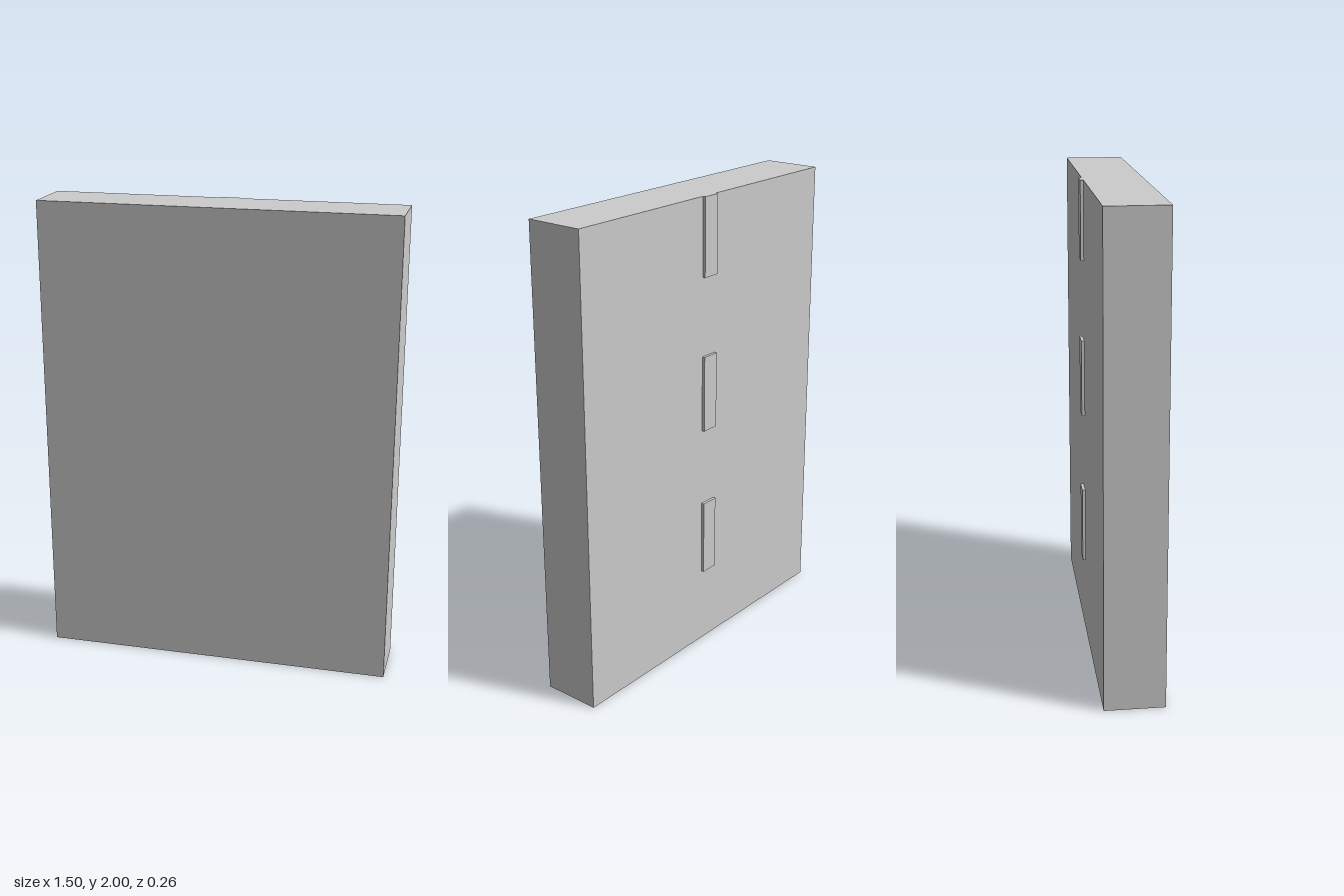
import * as THREE from 'three';

export function createModel() {
  const model = new THREE.Group();
  const material = new THREE.MeshStandardMaterial({ color: 0xcccccc, flatShading: true });

  function addBox(name, size, position) {
    const mesh = new THREE.Mesh(new THREE.BoxGeometry(...size), material);
    mesh.name = name;
    mesh.position.set(...position);
    model.add(mesh);
  }

  // Main slab, its front face at z = 0.131
  const depth = 0.25, raise = 0.0125;
  addBox('panel', [1.5, 2, depth], [0, 1, raise / 2]);

  // Three raised strips down the middle of the back, the highest flush with the top
  const stripHeight = 0.329;
  ['lowerStrip', 'middleStrip', 'upperStrip'].forEach((name, i) => {
    const top = (2 / 3) * (i + 1);
    addBox(name, [0.08, stripHeight, raise], [0, top - stripHeight / 2, -depth / 2]);
  });

  return model;
}
